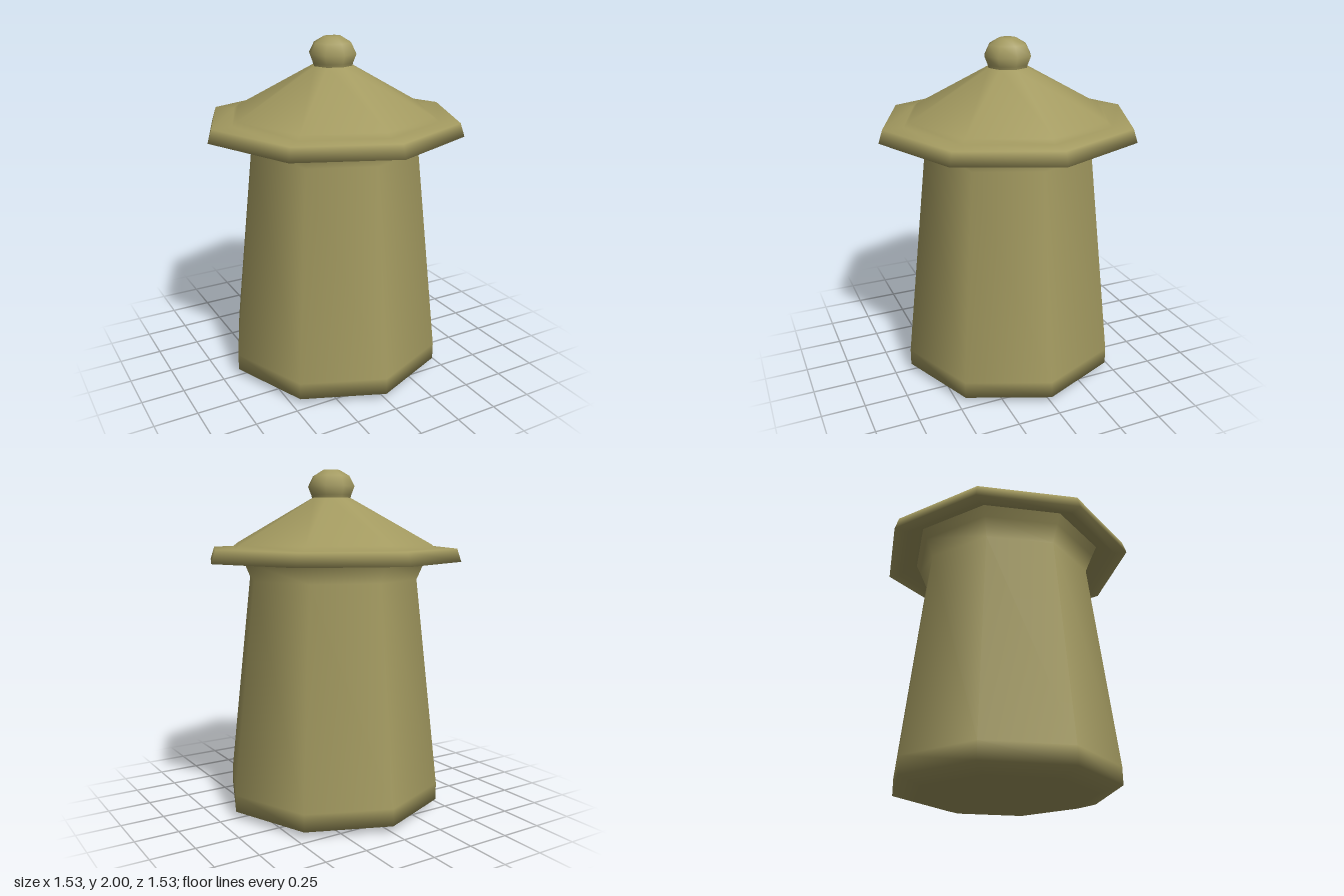
import * as THREE from 'three';

const SIDES = 8;

export function createModel() {
  const group = new THREE.Group();
  group.name = 'liddedJar';
  const material = new THREE.MeshStandardMaterial({ color: 0xa39a60 });

  // Eight-sided turned part; the profile runs [radius, height] from bottom to top
  const turned = (name, profile) => {
    const points = profile.map(([r, y]) => new THREE.Vector2(r, y));
    const mesh = new THREE.Mesh(new THREE.LatheGeometry(points, SIDES), material);
    mesh.name = name;
    group.add(mesh);
  };

  // Tapered body with a chamfered foot and flared neck
  turned('body', [
    [0, 0], [0.51, 0], [0.65, 0.04], [0.65, 0.14],
    [0.51, 1.37], [0.555, 1.475], [0.585, 1.54],
  ]);

  // Lid: recessed underside, overhanging rim, shallow cone
  turned('lid', [
    [0.54, 1.535], [0.66, 1.53], [0.69, 1.475], [0.765, 1.475],
    [0.74, 1.55], [0.62, 1.55], [0.59, 1.575], [0.115, 1.84],
  ]);

  // Faceted ball on top of the lid
  turned('knob', [
    [0.115, 1.835], [0.12, 1.855], [0.14, 1.905],
    [0.11, 1.965], [0.05, 2], [0, 2],
  ]);

  return group;
}
